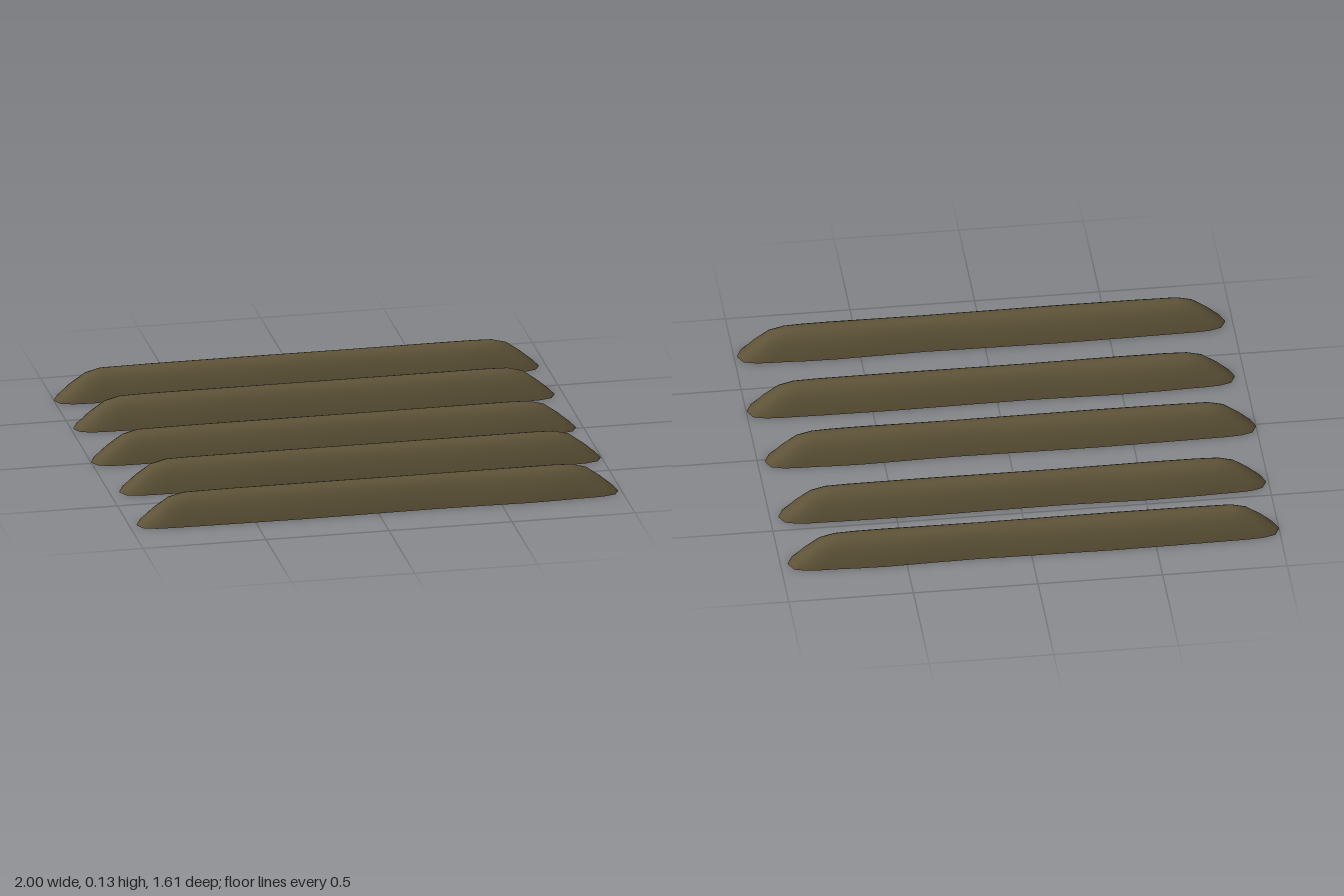
import * as THREE from 'three';

// Arch cross-section: [z as share of half-width, y as share of height]
const ARCH = [[1, 0], [0.93, 0.25], [0.8, 0.5], [0.66, 0.72], [0.45, 0.9], [0.24, 0.96], [0, 1]];
const PROFILE = [...ARCH, ...ARCH.slice(0, -1).reverse().map(([z, y]) => [-z, y])];

// Rounded end: [inset from the tip, half-width, height]
const END = [[0, 0.004, 0.001], [0.02, 0.043, 0.021], [0.07, 0.058, 0.066], [0.13, 0.062, 0.11], [0.19, 0.063, 0.126]];
const HEIGHT = 0.128;

// Half-widths along the body, [x, half-width], giving two wavy outlines
const WAVE_A = [[-0.6, 0.066], [-0.32, 0.069], [0, 0.065], [0.22, 0.062], [0.4, 0.065], [0.6, 0.07], [0.72, 0.067]];
const WAVE_B = [[-0.7, 0.067], [-0.5, 0.07], [-0.35, 0.066], [-0.15, 0.062], [0.1, 0.064], [0.4, 0.068], [0.7, 0.065]];

// Each ridge: [x of right tip, x of left tip, z, outline]
const RIDGES = [
  [-1, 0.97, -0.735, WAVE_A],
  [-0.99, 0.965, -0.403, WAVE_B],
  [-1, 0.97, -0.012, WAVE_A],
  [-0.96, 0.997, 0.345, WAVE_B],
  [-0.97, 0.987, 0.732, WAVE_A],
];

// Skins arch sections along x, open underneath
function ridgeGeometry(x0, x1, wave) {
  const mid = (x0 + x1) / 2;
  const rings = [
    ...END.map(([d, w, h]) => [x0 + d, w, h]),
    ...wave.map(([x, w]) => [x + mid, w, HEIGHT]),
    ...END.map(([d, w, h]) => [x1 - d, w, h]).reverse(),
  ];
  const pos = [], index = [], n = PROFILE.length;
  rings.forEach(([x, w, h], i) => {
    for (const [z, y] of PROFILE) pos.push(x, y * h, z * w);
    if (i === 0) return;
    for (let j = 0; j < n - 1; j++) {
      const a = (i - 1) * n + j, b = i * n + j;
      index.push(a, b, b + 1, a, b + 1, a + 1);
    }
  });
  const geo = new THREE.BufferGeometry();
  geo.setAttribute('position', new THREE.Float32BufferAttribute(pos, 3));
  geo.setIndex(index);
  geo.computeVertexNormals();
  return geo;
}

export function createModel() {
  const group = new THREE.Group();
  group.name = 'furrowedSoil';
  const soil = new THREE.MeshStandardMaterial({ color: 0x5e5338, side: THREE.DoubleSide });
  RIDGES.forEach(([x0, x1, z, wave], i) => {
    const ridge = new THREE.Mesh(ridgeGeometry(x0, x1, wave), soil);
    ridge.name = `soilRidge${i + 1}`;
    ridge.position.z = z;
    group.add(ridge);
  });
  return group;
}
